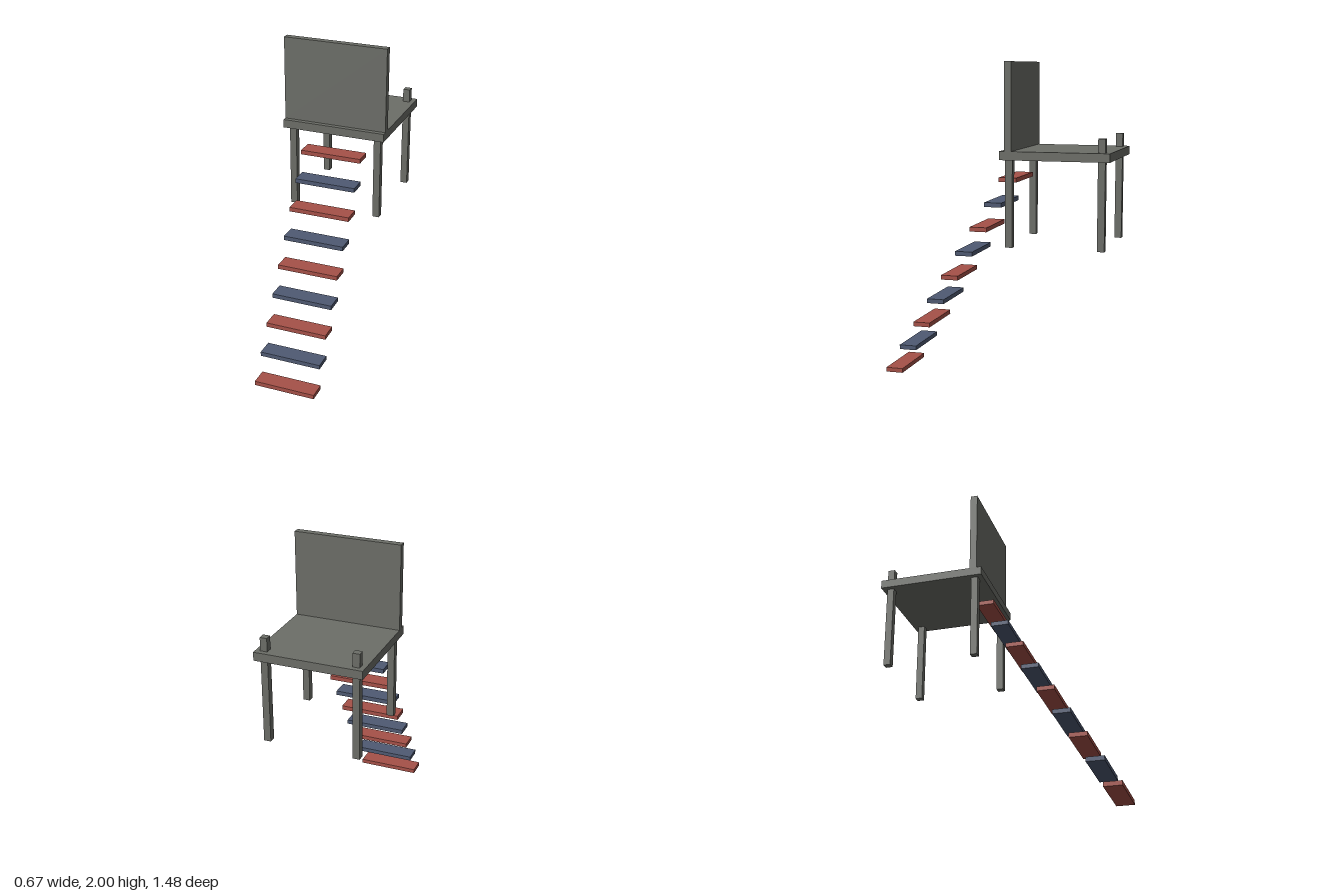
import * as THREE from 'three';

export function createModel() {
  const model = new THREE.Group();
  model.name = 'chairWithSteps';

  const material = (name, color) => {
    const m = new THREE.MeshStandardMaterial({ color });
    m.name = name;
    return m;
  };
  const grey = material('grey', 0x6c6e68);
  const red = material('brickRed', 0xa65148);
  const blue = material('slateBlue', 0x4f5a73);

  // Box placed by its minimum and maximum corners
  const box = (name, mat, [x0, y0, z0], [x1, y1, z1]) => {
    const mesh = new THREE.Mesh(new THREE.BoxGeometry(x1 - x0, y1 - y0, z1 - z0), mat);
    mesh.position.set((x0 + x1) / 2, (y0 + y1) / 2, (z0 + z1) / 2);
    mesh.name = name;
    model.add(mesh);
  };

  // Seat slab and upright panel
  box('seat', grey, [-0.336, 1.413, -0.741], [0.336, 1.466, -0.067]);
  box('backrest', grey, [-0.336, 1.466, -0.143], [0.336, 2, -0.098]);

  // Legs: the rear pair pokes up through the seat
  const half = 0.022;
  for (const side of [-1, 1]) {
    const x = side * 0.284;
    box('frontLeg', grey, [x - half, 0.878, -0.12 - half], [x + half, 1.413, -0.12 + half]);
    box('rearLeg', grey, [x - half, 0.878, -0.687 - half], [x + half, 1.413, -0.687 + half]);
    box('rearPost', grey, [x - half, 1.466, -0.687 - half], [x + half, 1.55, -0.687 + half]);
  }

  // Floating steps in alternating colours
  for (let i = 0; i < 9; i++) {
    const y = i * 0.1582;
    const front = 0.741 - i * 0.0957;
    box('step' + (i + 1), i % 2 ? blue : red, [-0.199, y, front - 0.112], [0.199, y + 0.028, front]);
  }

  return model;
}
